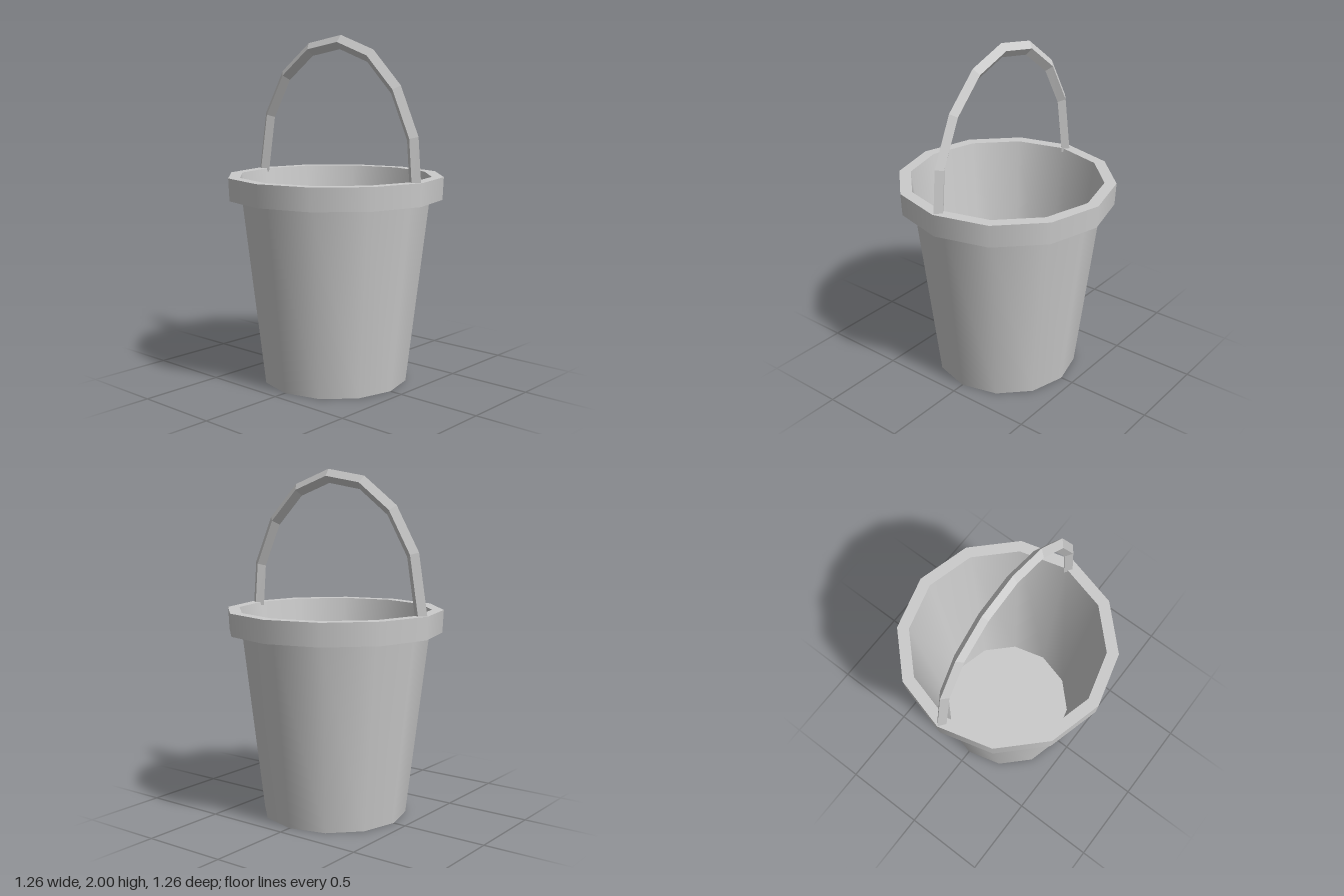
import * as THREE from 'three';

const SIDES = 12;

export function createModel() {
  const model = new THREE.Group();
  const smooth = new THREE.MeshStandardMaterial({ color: 0xcccccc });
  const flat = new THREE.MeshStandardMaterial({ color: 0xcccccc, flatShading: true });

  // One band of revolution per profile segment keeps the rims sharp
  const band = (name, r0, y0, r1, y1) => {
    const profile = [new THREE.Vector2(r0, y0), new THREE.Vector2(r1, y1)];
    const mesh = new THREE.Mesh(new THREE.LatheGeometry(profile, SIDES), smooth);
    mesh.name = name;
    return mesh;
  };

  // Bucket body, rim and inside, from the base outwards and back to the floor
  const bucket = new THREE.Group();
  bucket.name = 'bucket';
  bucket.add(
    band('base', 0, 0, 0.422, 0),
    band('outerWall', 0.422, 0, 0.549, 1.075),
    band('rimUnderside', 0.549, 1.075, 0.622, 1.075),
    band('rimSide', 0.622, 1.075, 0.628, 1.205),
    band('rimTop', 0.628, 1.205, 0.56, 1.205),
    band('innerWall', 0.56, 1.205, 0.405, 0.03),
    band('floor', 0.405, 0.03, 0, 0.03)
  );
  model.add(bucket);

  // Arched handle with a diamond section, as [z, y] along its centre line
  const path = [
    [0.58, 1.19], [0.56, 1.44], [0.442, 1.70], [0.26, 1.882], [0.04, 1.96],
    [-0.19, 1.922], [-0.392, 1.772], [-0.53, 1.535], [-0.588, 1.19]
  ].map(([z, y]) => new THREE.Vector3(0, y, z));
  const halfWidth = 0.031, halfDepth = 0.04;

  const rings = path.map((p, i) => {
    const before = path[Math.max(i - 1, 0)];
    const after = path[Math.min(i + 1, path.length - 1)];
    const t = after.clone().sub(before).normalize();
    const out = new THREE.Vector3(0, -t.z, t.y).multiplyScalar(halfDepth);
    const side = new THREE.Vector3(halfWidth, 0, 0);
    return [p.clone().add(out), p.clone().add(side), p.clone().sub(out), p.clone().sub(side)];
  });

  const points = [];
  const quad = (a, b, c, d) => points.push(a, b, c, a, c, d);
  for (let i = 0; i < rings.length - 1; i++) {
    for (let k = 0; k < 4; k++) {
      const n = (k + 1) % 4;
      quad(rings[i][k], rings[i][n], rings[i + 1][n], rings[i + 1][k]);
    }
  }
  // End caps
  const [s0, s1, s2, s3] = rings[0];
  quad(s3, s2, s1, s0);
  quad(...rings[rings.length - 1]);

  const geometry = new THREE.BufferGeometry().setFromPoints(points);
  geometry.computeVertexNormals();
  const handle = new THREE.Mesh(geometry, flat);
  handle.name = 'handle';
  model.add(handle);

  return model;
}
